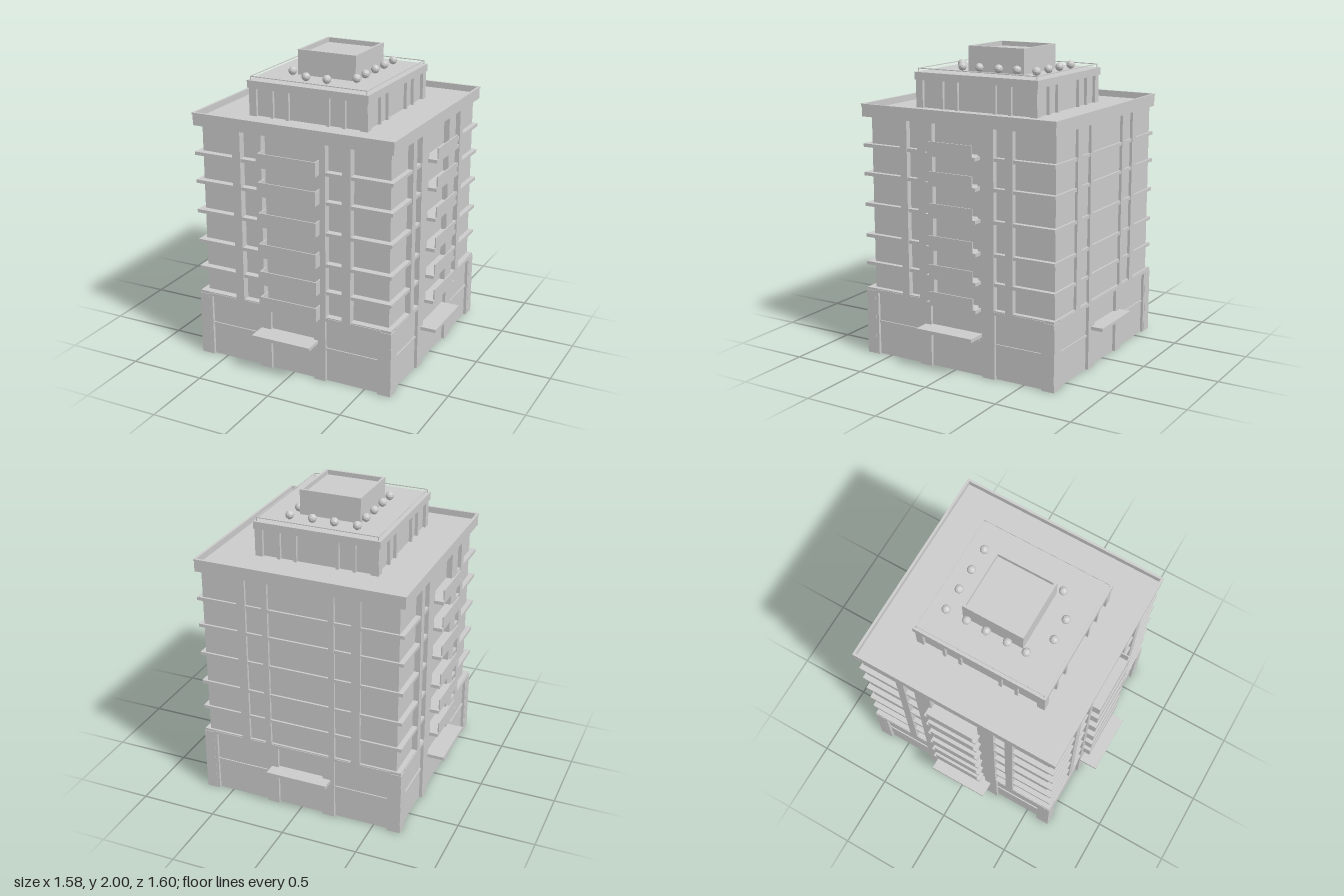
import * as THREE from 'three';

const material = new THREE.MeshStandardMaterial({ color: 0xcccccc, flatShading: true });

// Main footprint: x is +-W, z runs from BACK to FRONT
const W = 0.685, FRONT = 0.675, BACK = -0.72;
const FLOORS = [0.45, 0.625, 0.81, 1.015, 1.215, 1.4];

// Each facade: axis of its normal, direction, outer distance, centre of the
// wall along its length, and half its length
const SIDES = [
  { name: 'front', axis: 'z', sign: 1, out: FRONT, mid: 0, half: W },
  { name: 'back', axis: 'z', sign: -1, out: -BACK, mid: 0, half: W },
  { name: 'left', axis: 'x', sign: 1, out: W, mid: -0.022, half: 0.6975 },
  { name: 'right', axis: 'x', sign: -1, out: W, mid: -0.022, half: 0.6975 },
];

function block(parent, name, x0, x1, y0, y1, z0, z1) {
  const mesh = new THREE.Mesh(new THREE.BoxGeometry(x1 - x0, y1 - y0, z1 - z0), material);
  mesh.position.set((x0 + x1) / 2, (y0 + y1) / 2, (z0 + z1) / 2);
  mesh.name = name;
  parent.add(mesh);
}

// Block on a facade: u along the wall, d outwards from the centre of the plan
function wallBlock(parent, side, name, u0, u1, y0, y1, d0, d1) {
  const a = side.sign > 0 ? d0 : -d1, b = side.sign > 0 ? d1 : -d0;
  if (side.axis === 'z') block(parent, name, u0, u1, y0, y1, a, b);
  else block(parent, name, a, b, y0, y1, u0, u1);
}

// Four thin walls round a rectangle
function ring(parent, name, x0, x1, y0, y1, z0, z1, t) {
  block(parent, name, x0, x1, y0, y1, z0, z0 + t);
  block(parent, name, x0, x1, y0, y1, z1 - t, z1);
  block(parent, name, x0, x0 + t, y0, y1, z0 + t, z1 - t);
  block(parent, name, x1 - t, x1, y0, y1, z0 + t, z1 - t);
}

function group(parent, name) {
  const g = new THREE.Group();
  g.name = name;
  parent.add(g);
  return g;
}

function buildFacade(parent, side) {
  const g = group(parent, side.name + 'Facade');
  const { mid, half, out } = side;
  const long = side.axis === 'z';
  const inner = out - 0.09;

  // Ground floor piers, door header and wall ledges
  for (const s of [-1, 1]) {
    const strip = (name, a, b, y0, y1, d) =>
      wallBlock(g, side, name, mid + Math.min(s * a, s * b), mid + Math.max(s * a, s * b), y0, y1, inner, d);
    strip('podiumCornerPier', half - 0.07, half - 0.001, 0, 0.43, out);
    strip('podiumPier', long ? 0.155 : 0.19, long ? 0.235 : 0.28, 0, 0.43, out);
    strip('podiumLedge', 0.235, half - 0.07, 0.215, 0.23, out - 0.012);
    strip('podiumLintel', 0.235, half - 0.07, 0.42, 0.44, out);
    // Full-height piers and slim columns of the upper floors
    strip('pier', long ? 0.2 : 0.165, long ? 0.238 : 0.275, 0.43, 1.58, out);
    strip('column', long ? 0.35 : 0.355, 0.408, 0.43, 1.58, out);
  }
  wallBlock(g, side, 'doorHeader', mid - 0.16, mid + 0.16, 0.225, 0.25, inner, out - 0.01);
  wallBlock(g, side, 'doorLintel', mid - 0.2, mid + 0.2, 0.42, 0.44, inner, out);

  // Entrance canopy
  const cu = { front: -0.02, back: -0.005, left: 0.005, right: 0.005 }[side.name];
  const reach = long ? 0.8 : 0.79;
  wallBlock(g, side, 'canopy', cu - 0.205, cu + 0.205, 0.255, 0.277, inner, reach);
}

function buildBalconies(parent, side) {
  const g = group(parent, side.name + 'Balconies');
  const front = side.name === 'front';
  const reach = front ? 0.725 : 0.745;
  const u0 = front ? -0.2 : -0.205, u1 = front ? 0.198 : 0.16;
  for (const y of FLOORS) {
    wallBlock(g, side, 'balconyFloor', u0, u1, y - 0.022, y, side.out - 0.06, reach);
    const inset = front ? 0 : 0.022;
    wallBlock(g, side, 'balconyFront', u0 + inset, u1 - inset, y, y + 0.07, reach - 0.008, reach);
    if (!front) continue;
    for (const u of [u0, u1 - 0.008])
      wallBlock(g, side, 'balconyEnd', u, u + 0.008, y, y + 0.07, side.out - 0.03, reach - 0.008);
  }
}

function buildPenthouse(parent) {
  const g = group(parent, 'penthouse');
  block(g, 'penthouseWall', -0.39, 0.39, 1.6, 1.8, -0.42, 0.43);
  for (const side of SIDES) {
    const long = side.axis === 'z';
    const out = { front: 0.45, back: 0.44, left: 0.41, right: 0.41 }[side.name];
    const mid = long ? 0 : 0.005, half = long ? 0.409 : 0.444;
    for (const s of [-1, 1]) {
      for (const [a, w] of [[0.14, 0.02], [0.25, 0.02], [half - 0.025, 0.05]])
        wallBlock(g, side, 'penthousePilaster', mid + s * a - w / 2, mid + s * a + w / 2, 1.6, 1.8, out - 0.04, out);
    }
  }
  block(g, 'penthouseRoof', -0.42, 0.415, 1.79, 1.838, -0.447, 0.455);
  // Slim rail on short posts
  ring(g, 'roofRail', -0.405, 0.4, 1.858, 1.863, -0.432, 0.44, 0.005);
  for (const x of [-0.4025, 0.3975])
    for (const z of [-0.4295, 0.4375])
      block(g, 'railPost', x - 0.0025, x + 0.0025, 1.835, 1.859, z - 0.0025, z + 0.0025);

  // Roof house with a sunken top
  block(g, 'roofHouse', -0.195, 0.19, 1.83, 1.97, -0.215, 0.175);
  ring(g, 'roofHouseWall', -0.205, 0.2, 1.83, 2, -0.225, 0.185, 0.016);
}

// Rounded shrubs in a row round the roof house
function buildShrubs(parent) {
  const g = group(parent, 'shrubs');
  const spots = [[-0.075, -0.327], [0.07, -0.327], [-0.075, 0.32], [0.07, 0.32]];
  for (const z of [-0.327, -0.187, -0.053, 0.09, 0.217]) spots.push([-0.225, z], [0.222, z]);
  const ball = new THREE.IcosahedronGeometry(0.028, 1);
  const trunk = new THREE.CylinderGeometry(0.006, 0.008, 0.02, 6);
  spots.forEach(([x, z], i) => {
    const shrub = new THREE.Mesh(ball, material);
    shrub.name = 'shrub';
    shrub.position.set(x, 1.868, z);
    shrub.rotation.y = i * 0.7;
    const stem = new THREE.Mesh(trunk, material);
    stem.name = 'shrubStem';
    stem.position.set(x, 1.842, z);
    g.add(shrub, stem);
  });
}

export function createModel() {
  const model = new THREE.Group();
  model.name = 'apartmentBuilding';

  // Solid cores behind the piers
  block(model, 'podium', -W + 0.02, W - 0.02, 0, 0.435, BACK + 0.02, FRONT - 0.02);
  block(model, 'upperWalls', -0.648, 0.648, 0.43, 1.58, BACK + 0.018, 0.625);

  // Floor plates projecting as ledges
  for (const y of FLOORS)
    block(model, 'floorLedge', -W + 0.004, W - 0.004, y - 0.025, y - 0.003, BACK + 0.004, FRONT - 0.004);

  for (const side of SIDES) {
    buildFacade(model, side);
    if (side.name !== 'back') buildBalconies(model, side);
  }

  // Roof deck and parapet
  block(model, 'roofDeck', -W + 0.005, W - 0.005, 1.57, 1.61, BACK + 0.005, FRONT - 0.005);
  ring(model, 'parapet', -W, W, 1.57, 1.64, BACK, FRONT, 0.012);
  ring(model, 'parapetCap', -W - 0.004, W + 0.004, 1.64, 1.652, BACK - 0.004, FRONT + 0.004, 0.016);

  buildPenthouse(model);
  buildShrubs(model);
  return model;
}
